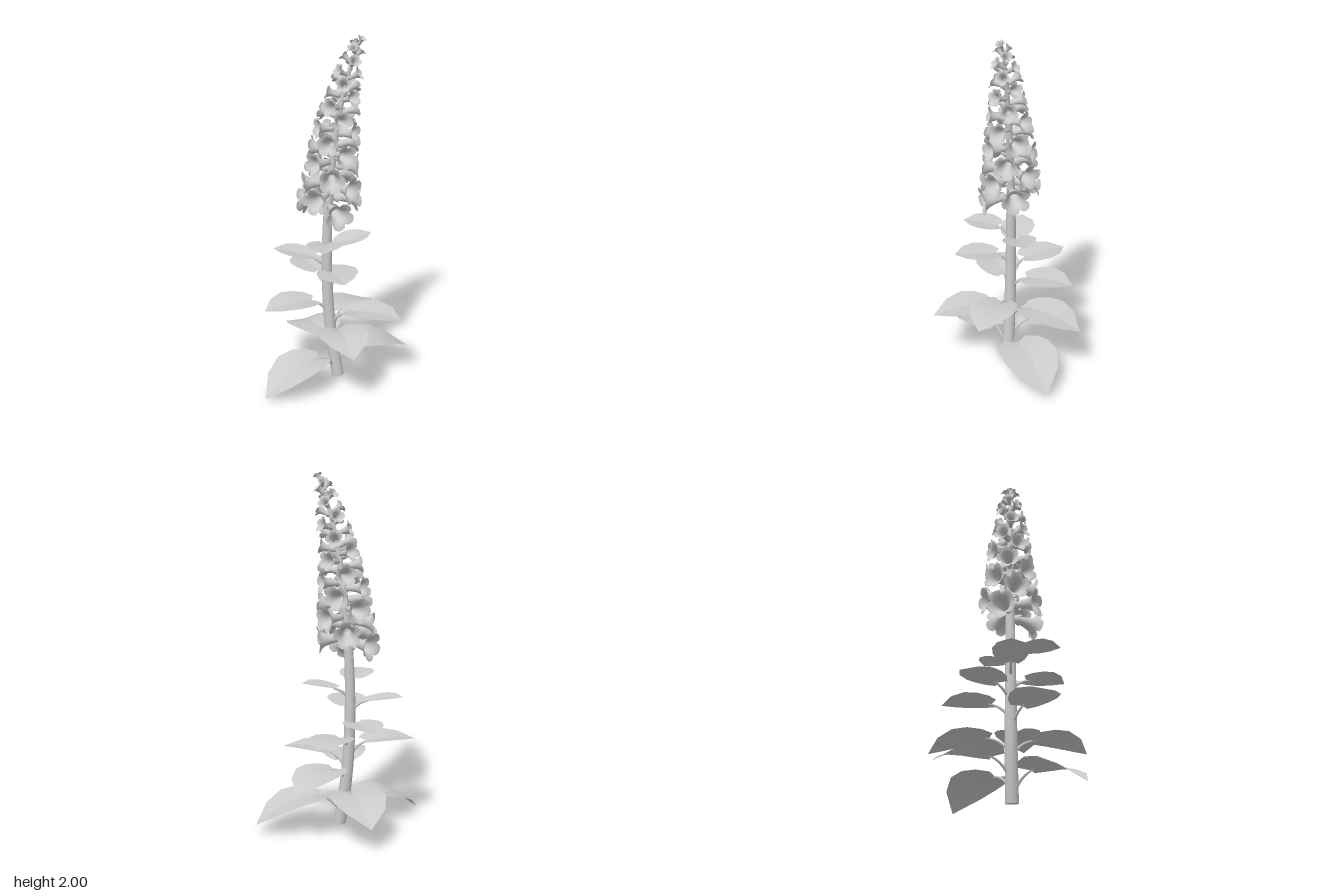
import * as THREE from 'three';
import { mergeVertices } from 'three/addons/utils/BufferGeometryUtils.js';

const V = (x, y, z) => new THREE.Vector3(x, y, z);
const mat = new THREE.MeshStandardMaterial({ color: 0xcccccc, side: THREE.DoubleSide });

// Gently bowed centre line of the stem
const spine = new THREE.CatmullRomCurve3([
  V(-0.006, 0.012, 0.028), V(-0.043, 0.25, 0.028), V(-0.064, 0.5, 0.028), V(-0.069, 0.8, 0.027),
  V(-0.057, 1.08, 0.024), V(-0.013, 1.5, 0.02), V(0.042, 1.77, 0.015), V(0.1, 1.95, 0.01),
]);
const spinePoints = spine.getSpacedPoints(300);

// Point on the stem at a given height
function stemAt(y) {
  let best = spinePoints[0];
  for (const p of spinePoints) if (Math.abs(p.y - y) < Math.abs(best.y - y)) best = p;
  return best.clone();
}

function mesh(geometry, name) {
  const m = new THREE.Mesh(geometry, mat);
  m.name = name;
  return m;
}

// Tube whose radius follows a function of the way along it
function taperedTube(curve, segments, sides, radiusAt) {
  const geo = new THREE.TubeGeometry(curve, segments, 1, sides);
  const pos = geo.attributes.position;
  const p = V(0, 0, 0);
  for (let i = 0; i < pos.count; i++) {
    const t = Math.floor(i / (sides + 1)) / segments;
    const c = curve.getPointAt(t);
    p.fromBufferAttribute(pos, i).sub(c).multiplyScalar(radiusAt(t)).add(c);
    pos.setXYZ(i, p.x, p.y, p.z);
  }
  return geo;
}

// Heart-shaped blade arching to its tip; the doubled midrib column keeps a crease
function bladeGeometry(curve, width) {
  const rows = [[0, 0.42], [0.1, 0.75], [0.27, 0.96], [0.48, 1], [0.74, 0.72], [1, 0]];
  const cols = [-1, -0.5, 0, 0, 0.5, 1];
  const verts = [], index = [];
  const flat = curve.getPoint(1).sub(curve.getPoint(0)).setY(0).normalize();
  const side = V(-flat.z, 0, flat.x);
  rows.forEach(([t, w], r) => {
    for (const c of cols) {
      const half = c * w * width / 2;
      const p = curve.getPoint(t).addScaledVector(side, half);
      p.addScaledVector(flat, -0.035 * (1 - t) ** 3 * Math.abs(c));
      p.y += Math.abs(half) * 0.12;
      verts.push(p.x, p.y, p.z);
    }
    if (r === 0) return;
    for (const c of [0, 1, 3, 4]) {
      const a = (r - 1) * 6 + c, b = a + 6;
      index.push(a, a + 1, b, b, a + 1, b + 1);
    }
  });
  const geo = new THREE.BufferGeometry();
  geo.setAttribute('position', new THREE.Float32BufferAttribute(verts, 3));
  geo.setIndex(index);
  geo.computeVertexNormals();
  return geo;
}

// Leaf with its arched stalk; lower leaves are longer stalked and droop more
function leaf([x, y, z, baseY, width]) {
  const g = new THREE.Group();
  g.name = 'leaf';
  const tip = V(x, y, z);
  const root = stemAt(baseY - 0.14 + 0.1 * baseY);
  const out = tip.clone().sub(root).setY(0).normalize();
  const base = root.clone().addScaledVector(out, 0.15 - 0.08 * baseY).setY(baseY);
  const mid = base.clone().lerp(tip, 0.5);
  mid.y += Math.max(0.012, 0.13 - 0.19 * baseY);
  g.add(mesh(bladeGeometry(new THREE.QuadraticBezierCurve3(base, mid, tip), width), 'leafBlade'));

  const bend = root.clone().addScaledVector(out, 0.05).setY(baseY - 0.01);
  const end = base.clone().lerp(mid, 0.12);
  const stalk = new THREE.QuadraticBezierCurve3(root, bend, end);
  g.add(mesh(taperedTube(stalk, 8, 6, t => 0.011 - 0.006 * t), 'leafStalk'));
  return g;
}

// Turned cup along +y; rows past the throat are cut into five rounded lobes
function lobedCup(profile, throat) {
  const lathe = new THREE.LatheGeometry(profile.map(([r, h]) => new THREE.Vector2(r, h)), 40);
  const pos = lathe.attributes.position;
  const [tr, th] = profile[throat];
  for (let i = 0; i < pos.count; i++) {
    const row = i % profile.length;
    if (row <= throat) continue;
    const angle = Math.floor(i / profile.length) / 40 * Math.PI * 2;
    const lobe = 0.2 + 0.8 * Math.sqrt(Math.abs(Math.sin(angle * 2.5)));
    const r = tr + (profile[row][0] - tr) * lobe;
    const h = th + (profile[row][1] - th) * lobe;
    pos.setXYZ(i, r * Math.sin(angle), h, r * Math.cos(angle));
  }
  lathe.deleteAttribute('uv');
  lathe.deleteAttribute('normal');
  const geo = mergeVertices(lathe, 1e-4);
  geo.computeVertexNormals();
  return geo;
}

export function createModel() {
  const model = new THREE.Group();
  model.name = 'flowerSpike';

  // Stem with closed foot
  model.add(mesh(taperedTube(spine, 40, 12, t => 0.036 - 0.009 * t - 0.02 * t * t), 'stem'));
  const foot = mesh(new THREE.CircleGeometry(0.036, 12), 'stemFoot');
  foot.position.copy(spine.getPoint(0));
  foot.quaternion.setFromUnitVectors(V(0, 0, 1), spine.getTangent(0).negate());
  model.add(foot);

  // Leaves: tip x, y, z, blade base height, width
  const leaves = [
    [-0.325, 0.025, 0.43, 0.16, 0.31], [0.345, 0.06, -0.335, 0.185, 0.33],
    [-0.36, 0.145, -0.335, 0.235, 0.31], [0.175, 0.325, 0.42, 0.355, 0.28],
    [0.04, 0.31, -0.43, 0.365, 0.285], [0.375, 0.41, 0.06, 0.425, 0.26],
    [-0.365, 0.49, 0.28, 0.497, 0.26], [-0.05, 0.55, -0.35, 0.545, 0.24],
    [-0.325, 0.64, -0.215, 0.635, 0.22], [0.1, 0.71, 0.31, 0.69, 0.22],
    [-0.375, 0.785, 0.06, 0.745, 0.2], [0.15, 0.855, -0.14, 0.815, 0.19],
    [-0.025, 0.875, 0.3, 0.855, 0.2],
  ];
  for (const l of leaves) model.add(leaf(l));

  // Bell flowers spiralling up the stem, smaller and more upright to the top
  const bell = lobedCup([[0.06, 0.08], [0.12, 0.16], [0.15, 0.36], [0.19, 0.58], [0.25, 0.76],
    [0.33, 0.88], [0.43, 0.95], [0.52, 0.98]], 5);
  const calyx = lobedCup([[0.035, 0], [0.06, 0.07], [0.13, 0.11], [0.18, 0.2], [0.21, 0.3]], 2);
  const count = 40;
  for (let i = 0; i < count; i++) {
    const t = i / (count - 1);
    const angle = THREE.MathUtils.degToRad(55 + 137.5 * i);
    const pitch = -0.12 + 0.5 * t + 0.65 * t ** 5;
    const dir = V(Math.cos(angle) * Math.cos(pitch), Math.sin(pitch), Math.sin(angle) * Math.cos(pitch));
    const flower = new THREE.Group();
    flower.name = 'flower';
    flower.add(mesh(bell, 'bell'), mesh(calyx, 'calyx'));
    flower.position.copy(stemAt(1.062 + 0.888 * t)).addScaledVector(dir, 0.013 * (1 - t));
    flower.quaternion.setFromUnitVectors(V(0, 1, 0), dir);
    flower.scale.setScalar(0.16 - 0.085 * t - 0.022 * t * t);
    model.add(flower);
  }
  return model;
}
